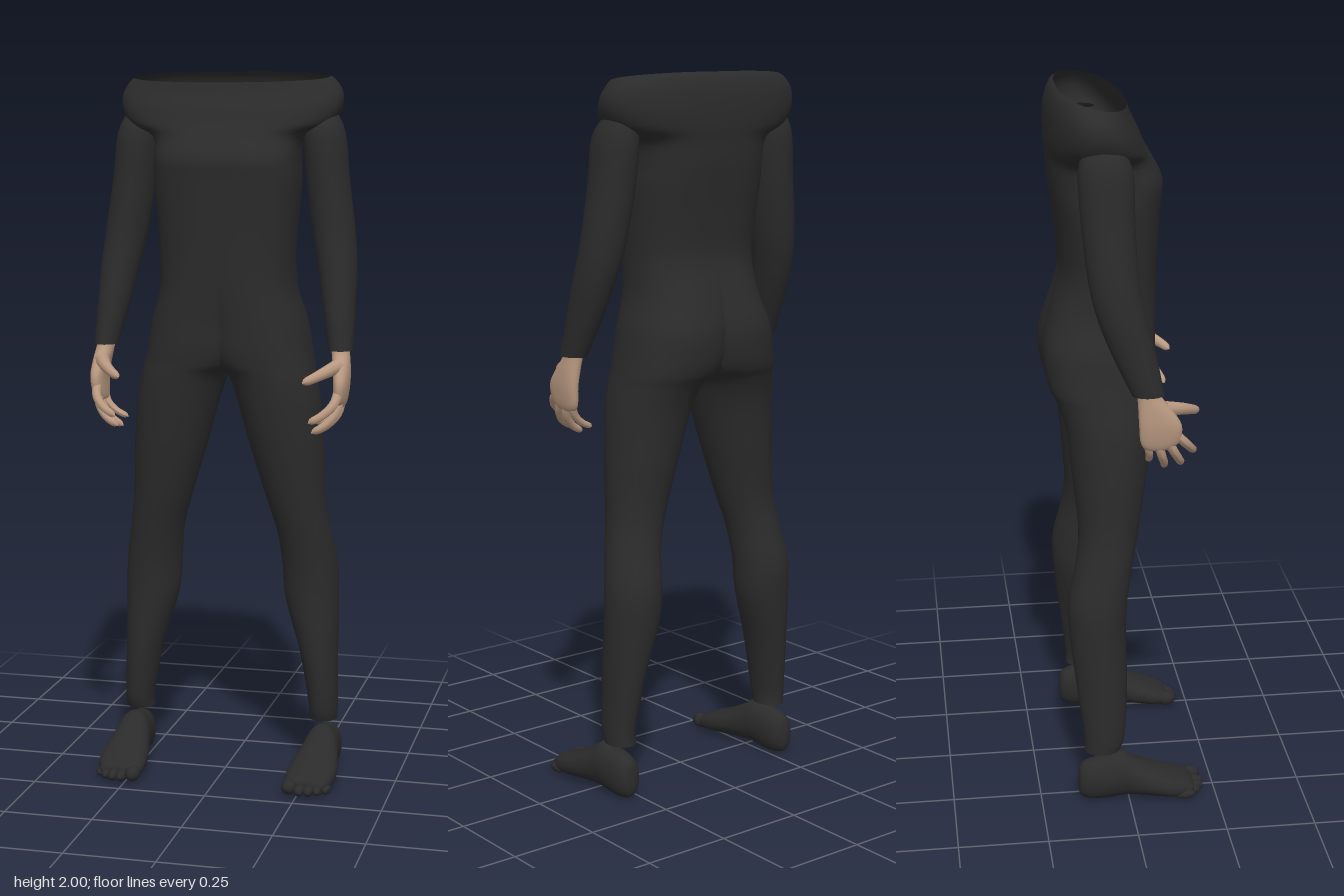
import * as THREE from 'three';
import { mergeGeometries, mergeVertices } from 'three/addons/utils/BufferGeometryUtils.js';

const suit = new THREE.MeshStandardMaterial({ color: 0x2b2b2b, side: THREE.DoubleSide });
suit.name = 'black suit';
const skin = new THREE.MeshStandardMaterial({ color: 0xb89880, side: THREE.DoubleSide });
skin.name = 'skin';

// Smooth value between the rows of a section table.
function sample(rows, t) {
  const i = Math.min(Math.floor(t), rows.length - 2), f = t - i;
  const at = k => rows[Math.max(0, Math.min(rows.length - 1, k))];
  return rows[i].map((p1, k) => {
    const p0 = at(i - 1)[k], p2 = at(i + 1)[k], p3 = at(i + 2)[k];
    return p1 + 0.5 * f * (p2 - p0 + f * (2 * p0 - 5 * p1 + 4 * p2 - p3 + f * (3 * (p1 - p2) + p3 - p0)));
  });
}

// Loft of superellipses; each row is [y, centre x, half width, z front, z back, exponent].
// With clampX the skin stops at the x = 0 plane, so two halves join there.
function loft(rows, { seg = 32, sub = 4, clampX = false } = {}) {
  const pos = [], index = [], n = (rows.length - 1) * sub;
  for (let i = 0; i <= n; i++) {
    const [y, cx, hw, zf, zb, e] = sample(rows, i / sub);
    for (let j = 0; j < seg; j++) {
      const a = (j / seg) * Math.PI * 2, c = Math.cos(a), s = Math.sin(a);
      const bend = v => Math.abs(v) < 1e-9 ? 0 : Math.sign(v) * Math.abs(v) ** (2 / e);
      let x = cx + hw * bend(c);
      if (clampX && x < 0.0005) x = 0;
      pos.push(x, y, (zf + zb) / 2 + (zf - zb) / 2 * bend(s));
    }
  }
  for (let i = 0; i < n; i++) for (let j = 0; j < seg; j++) {
    const a = i * seg + j, b = i * seg + (j + 1) % seg, c = a + seg, d = b + seg;
    if (clampX && [a, b, c, d].every(v => pos[v * 3] === 0)) continue;
    index.push(a, c, b, b, c, d);
  }
  const g = new THREE.BufferGeometry();
  g.setAttribute('position', new THREE.Float32BufferAttribute(pos, 3));
  g.setIndex(index);
  g.computeVertexNormals();
  return g;
}

function mirrored(geo) {
  const g = geo.clone().scale(-1, 1, 1), ix = g.index.array;
  for (let i = 0; i < ix.length; i += 3) [ix[i], ix[i + 1]] = [ix[i + 1], ix[i]];
  g.computeVertexNormals();
  return g;
}

// Tapered, round-tipped finger along a curve.
function finger(points, r0, r1) {
  const curve = new THREE.CatmullRomCurve3(points.map(p => new THREE.Vector3(...p)));
  const n = 14, sides = 10, g = new THREE.TubeGeometry(curve, n, 1, sides);
  const p = g.attributes.position, v = new THREE.Vector3();
  for (let i = 0; i < p.count; i++) {
    const t = Math.floor(i / (sides + 1)) / n, c = curve.getPointAt(t);
    const tip = t > 0.85 ? Math.sqrt(Math.max(0, 1 - ((t - 0.85) / 0.15) ** 2)) : 1;
    v.fromBufferAttribute(p, i).sub(c).multiplyScalar((r0 + (r1 - r0) * t) * tip).add(c);
    p.setXYZ(i, v.x, v.y, v.z);
  }
  g.computeVertexNormals();
  return g;
}

export function createModel() {
  const model = new THREE.Group();
  model.name = 'figure';
  const add = (parent, geo, mat, name) => {
    const m = new THREE.Mesh(geo, mat);
    m.name = name;
    parent.add(m);
  };

  // Torso and legs: one half from ankle to neckline, mirrored and welded.
  const half = loft([
    [0.15, 0.275, 0.04, -0.025, -0.125, 2],
    [0.2, 0.275, 0.042, -0.01, -0.126, 2],
    [0.35, 0.26, 0.055, -0.002, -0.145, 2],
    [0.5, 0.238, 0.077, -0.003, -0.162, 2],
    [0.6, 0.232, 0.08, 0.002, -0.164, 2],
    [0.7, 0.218, 0.078, 0.018, -0.142, 2],
    [0.8, 0.196, 0.085, 0.037, -0.13, 2],
    [0.95, 0.17, 0.105, 0.062, -0.143, 2],
    [1.08, 0.147, 0.118, 0.078, -0.157, 2.1],
    [1.155, 0.126, 0.124, 0.086, -0.18, 2.2],
    [1.19, 0.1, 0.143, 0.09, -0.199, 2.3],
    [1.24, 0.082, 0.151, 0.095, -0.21, 2.3],
    [1.31, 0.07, 0.15, 0.096, -0.211, 2.3],
    [1.4, 0.04, 0.155, 0.1, -0.187, 2.3],
    [1.5, 0.01, 0.182, 0.104, -0.161, 2.4],
    [1.6, 0, 0.198, 0.109, -0.167, 2.6],
    [1.7, 0, 0.205, 0.115, -0.18, 2.8],
    [1.76, 0, 0.203, 0.118, -0.188, 2.9],
    [1.82, 0, 0.215, 0.088, -0.192, 2.7],
    [1.855, 0, 0.285, 0.068, -0.195, 2.5],
    [1.9, 0, 0.313, 0.05, -0.195, 2.4],
    [1.95, 0, 0.314, 0.034, -0.19, 2.3],
    [1.985, 0, 0.297, 0.025, -0.178, 2.2],
    [2.0, 0, 0.28, 0.02, -0.163, 2.2],
  ], { seg: 64, clampX: true });
  half.deleteAttribute('normal');
  // The neckline dips towards the front.
  const p = half.attributes.position;
  for (let i = 0; i < p.count; i++) {
    const k = THREE.MathUtils.smoothstep(p.getY(i), 1.88, 2);
    const f = THREE.MathUtils.clamp((p.getZ(i) + 0.16) / 0.18, 0, 1);
    p.setY(i, p.getY(i) - 0.033 * k * f);
  }
  const other = mirrored(half);
  other.deleteAttribute('normal');
  const body = mergeVertices(mergeGeometries([half, other]), 1e-5);
  body.computeVertexNormals();
  add(model, body, suit, 'torsoAndLegs');

  const sleeve = loft([
    [1.89, 0.262, 0.035, -0.03, -0.11, 2],
    [1.83, 0.268, 0.057, 0.01, -0.132, 2.1],
    [1.7, 0.279, 0.061, 0.015, -0.127, 2],
    [1.55, 0.3, 0.06, 0.022, -0.112, 2],
    [1.45, 0.315, 0.054, 0.04, -0.09, 2],
    [1.35, 0.325, 0.045, 0.065, -0.052, 2],
    [1.24, 0.337, 0.034, 0.086, 0.0, 2],
  ].reverse());

  const palm = loft([
    [1.083, 0.341, 0.002, 0.08, 0.06, 2],
    [1.088, 0.341, 0.013, 0.105, 0.035, 2.2],
    [1.11, 0.344, 0.018, 0.128, 0.022, 2.4],
    [1.155, 0.347, 0.021, 0.132, 0.018, 2.4],
    [1.2, 0.343, 0.024, 0.105, 0.016, 2.2],
    [1.235, 0.338, 0.025, 0.078, 0.014, 2],
    [1.27, 0.336, 0.024, 0.07, 0.01, 2],
  ]);
  const fingers = {
    thumb: finger([[0.338, 1.2, 0.085], [0.312, 1.188, 0.135], [0.285, 1.175, 0.167], [0.258, 1.163, 0.19]], 0.021, 0.011),
    indexFinger: finger([[0.345, 1.135, 0.11], [0.335, 1.1, 0.143], [0.308, 1.073, 0.165], [0.272, 1.053, 0.178]], 0.014, 0.01),
    middleFinger: finger([[0.346, 1.12, 0.09], [0.338, 1.077, 0.113], [0.312, 1.043, 0.132], [0.274, 1.02, 0.143]], 0.014, 0.01),
    ringFinger: finger([[0.346, 1.115, 0.066], [0.337, 1.068, 0.08], [0.31, 1.036, 0.091], [0.272, 1.013, 0.096]], 0.014, 0.0095),
    littleFinger: finger([[0.344, 1.115, 0.04], [0.334, 1.077, 0.047], [0.307, 1.05, 0.051], [0.27, 1.033, 0.053]], 0.012, 0.0085),
  };

  // Foot: lofted from heel to toes, then laid forward (rows hold -bottom and -top heights).
  const foot = loft([
    [-0.146, 0.284, 0.003, -0.04, -0.07, 2],
    [-0.138, 0.284, 0.026, -0.012, -0.108, 2],
    [-0.11, 0.283, 0.04, 0, -0.123, 2.2],
    [-0.06, 0.282, 0.045, 0, -0.133, 2.1],
    [-0.02, 0.281, 0.048, -0.004, -0.143, 2],
    [0.02, 0.28, 0.056, -0.006, -0.118, 2.1],
    [0.08, 0.278, 0.067, -0.003, -0.087, 2.2],
    [0.13, 0.275, 0.069, 0, -0.066, 2.4],
    [0.17, 0.27, 0.06, -0.003, -0.05, 2.4],
    [0.185, 0.268, 0.05, -0.012, -0.038, 2.2],
    [0.187, 0.268, 0.002, -0.024, -0.026, 2],
  ]).rotateX(Math.PI / 2);
  const toes = [[0.228, 0.185, 0.021], [0.259, 0.191, 0.015], [0.284, 0.187, 0.0145], [0.307, 0.175, 0.0135], [0.328, 0.157, 0.0135]]
    .map(([x, z, r]) => new THREE.SphereGeometry(r, 14, 10).scale(1, 1.05, 30 / (r * 1000)).translate(x, r * 1.05 + 0.002, z));

  for (const [side, fix] of [['left', g => g], ['right', mirrored]]) {
    const arm = new THREE.Group(), hand = new THREE.Group(), footGroup = new THREE.Group();
    arm.name = side + 'Arm';
    hand.name = side + 'Hand';
    footGroup.name = side + 'Foot';
    add(arm, fix(sleeve), suit, side + 'Sleeve');
    add(hand, fix(palm), skin, side + 'Palm');
    for (const name in fingers) add(hand, fix(fingers[name]), skin, name);
    add(footGroup, fix(foot), suit, side + 'FootBody');
    toes.forEach((t, i) => add(footGroup, fix(t), suit, 'toe' + (i + 1)));
    arm.add(hand);
    model.add(arm, footGroup);
  }
  return model;
}
